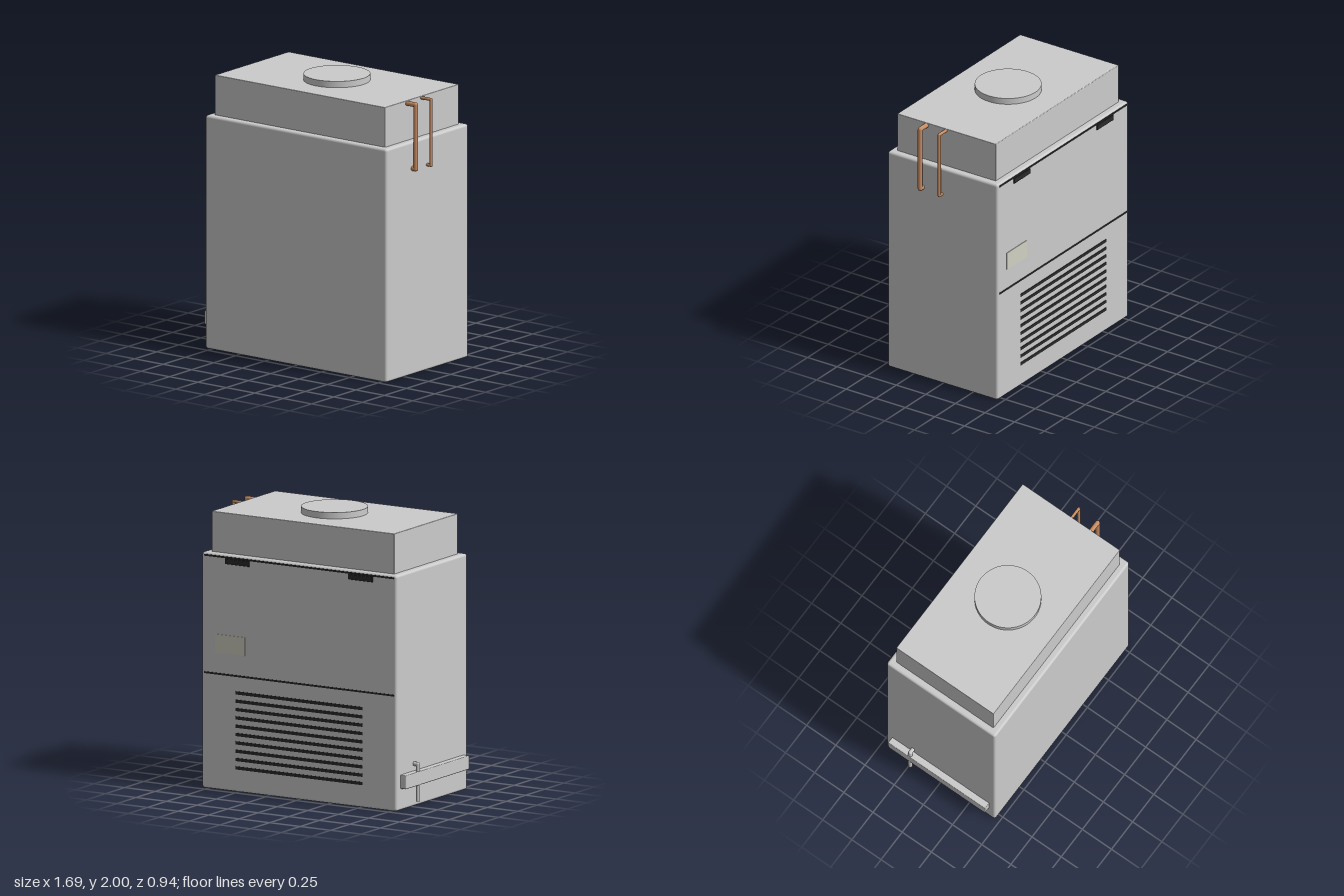
import * as THREE from 'three';
import { RoundedBoxGeometry } from 'three/addons/geometries/RoundedBoxGeometry.js';

const grey = new THREE.MeshStandardMaterial({ color: 0xcccccc });
const dark = new THREE.MeshStandardMaterial({ color: 0x2a2a2a });
const copper = new THREE.MeshStandardMaterial({ color: 0xc98d62 });
const plateGrey = new THREE.MeshStandardMaterial({ color: 0xd0d0c4 });

export function createModel() {
  const model = new THREE.Group();
  model.name = 'coolingCabinet';

  function add(name, geometry, material, x, y, z, parent = model) {
    const mesh = new THREE.Mesh(geometry, material);
    mesh.name = name;
    mesh.position.set(x, y, z);
    parent.add(mesh);
    return mesh;
  }

  // Box given by its extents, with optional rounded edges
  function box(name, material, [x0, x1], [y0, y1], [z0, z1], radius = 0) {
    const size = [x1 - x0, y1 - y0, z1 - z0];
    const geometry = radius
      ? new RoundedBoxGeometry(...size, 3, radius)
      : new THREE.BoxGeometry(...size);
    return add(name, geometry, material, (x0 + x1) / 2, (y0 + y1) / 2, (z0 + z1) / 2);
  }

  // Pipe of straight runs with ball joints at the bends
  function pipe(name, material, radius, points) {
    const group = new THREE.Group();
    group.name = name;
    model.add(group);
    const path = points.map((p) => new THREE.Vector3(...p));
    for (let i = 1; i < path.length; i++) {
      const run = path[i].clone().sub(path[i - 1]);
      const mid = path[i].clone().add(path[i - 1]).multiplyScalar(0.5);
      const mesh = add('pipeRun', new THREE.CylinderGeometry(radius, radius, run.length(), 16),
        material, mid.x, mid.y, mid.z, group);
      mesh.quaternion.setFromUnitVectors(new THREE.Vector3(0, 1, 0), run.normalize());
      if (i < path.length - 1) {
        add('pipeBend', new THREE.SphereGeometry(radius, 16, 10), material, ...path[i].toArray(), group);
      }
    }
  }

  // Cabinet, upper housing and round cap
  box('cabinet', grey, [-0.797, 0.797], [0, 1.67], [-0.464, 0.466], 0.018);
  box('upperHousing', grey, [-0.748, 0.748], [1.65, 1.955], [-0.415, 0.418], 0.005);
  add('topCap', new THREE.CylinderGeometry(0.232, 0.232, 0.05, 64), grey, 0, 1.975, 0);

  // Rear panel seams, hinges and label plate
  const back = [-0.468, -0.455];
  box('upperSeam', dark, [-0.775, 0.775], [1.645, 1.657], back);
  box('middleSeam', dark, [-0.775, 0.775], [0.814, 0.826], back);
  for (const x of [-0.505, 0.505]) {
    box('hinge', dark, [x - 0.1, x + 0.1], [1.605, 1.645], [-0.473, -0.455], 0.004);
  }
  box('labelPlate', plateGrey, [0.445, 0.685], [0.97, 1.1], back);

  // Rear vent slots
  for (let i = 0; i < 10; i++) {
    const y = 0.17 + i * 0.059;
    box('ventSlot', dark, [-0.52, 0.52], [y - 0.011, y + 0.011], back);
  }

  // Copper lines looping from the housing into the cabinet side
  for (const [z, r] of [[0.17, 0.017], [0.005, 0.011]]) {
    const x = 0.842 - r;
    pipe('copperLine', copper, r,
      [[0.735, 1.953 - r, z], [x, 1.953 - r, z], [x, 1.46 + r, z], [0.78, 1.46 + r, z]]);
  }

  // Side rail and drain pipe
  box('sideRail', grey, [-0.845, -0.79], [0.155, 0.252], [-0.415, 0.415], 0.006);
  pipe('drainPipe', grey, 0.015,
    [[-0.78, 0.302, -0.235], [-0.829, 0.302, -0.235], [-0.829, 0.04, -0.235]]);

  return model;
}
